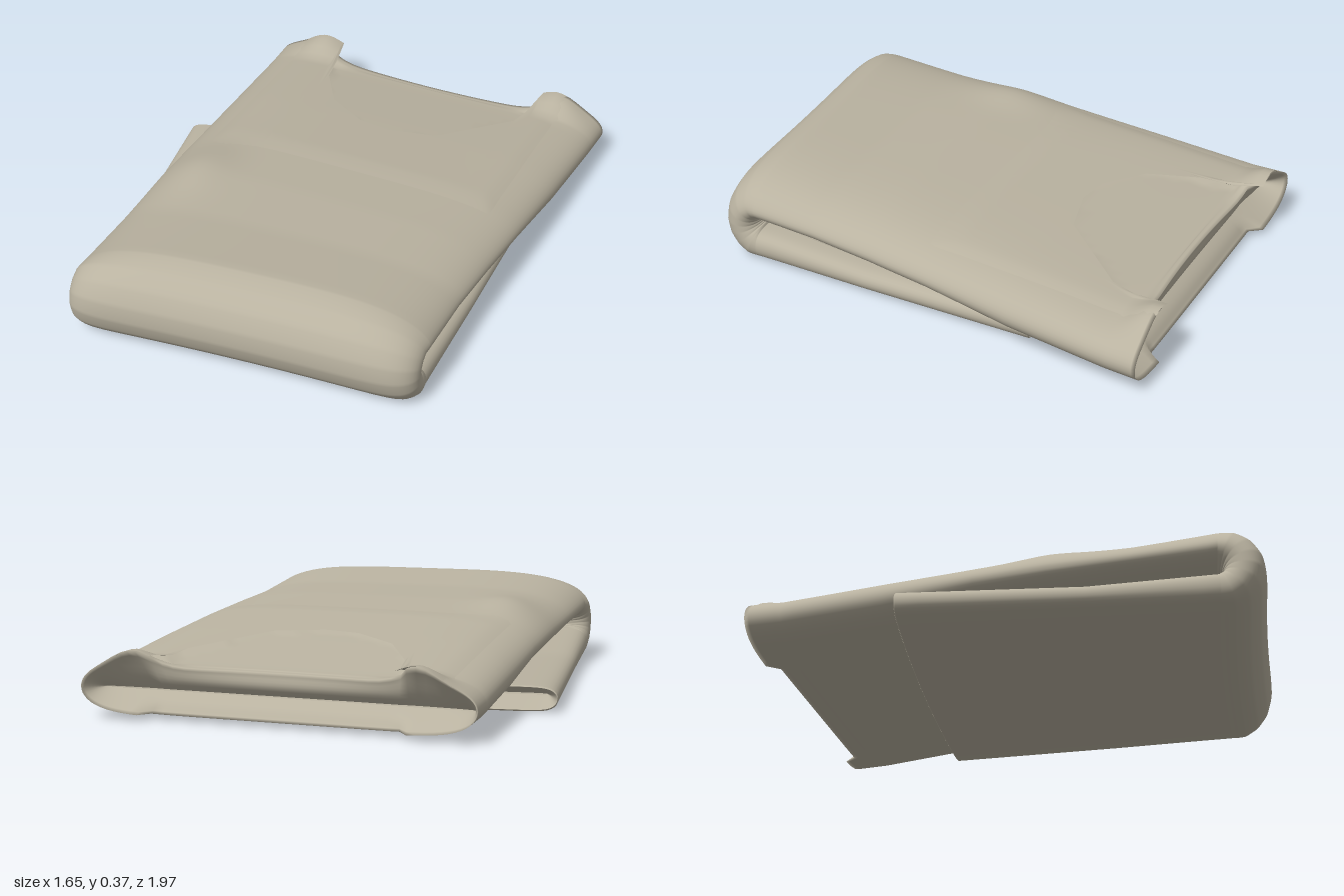
import * as THREE from 'three';

const { smoothstep, lerp } = THREE.MathUtils;
const clothMaterial = new THREE.MeshStandardMaterial({ color: 0xb9b2a0, side: THREE.DoubleSide });
clothMaterial.name = 'beigeCloth';

// Stations along the cloth: z, y, outward angle, half thickness, left x, right x, crown, edge squareness
const upper = [
  [-0.99, 0.120, 0, 0.098, -0.69, 0.825, 0.0, 8],
  [-0.85, 0.122, 0, 0.098, -0.69, 0.815, 0.004, 8],
  [-0.45, 0.153, 0, 0.096, -0.685, 0.79, 0.022, 8],
  [-0.10, 0.188, 0, 0.076, -0.68, 0.76, 0.045, 8],
  [0.17, 0.204, 0, 0.070, -0.68, 0.735, 0.056, 8],
  [0.45, 0.217, 0, 0.065, -0.675, 0.715, 0.058, 8],
  [0.74, 0.232, 0, 0.070, -0.675, 0.71, 0.070, 8],
];
const hem = [-0.86, 0.1, 0, 0.003, -0.65, 0.78, 0, 8];
const fold = [1, 2, 3, 4, 5, 6, 7].map(k => {
  const a = k * Math.PI / 8;
  return [0.742 + 0.085 * Math.sin(a), 0.147 + 0.085 * Math.cos(a), a, 0.07, -0.682, 0.705,
    0.07 - 0.01 * k, 8 + 2 * k];
});
const lower = [
  [0.745, 0.064, Math.PI, 0.061, -0.685, 0.70, 0, 26],
  [0.25, 0.050, Math.PI, 0.047, -0.74, 0.70, 0, 26],
  [-0.455, 0.053, Math.PI, 0.050, -0.83, 0.70, 0, 26],
  [-0.46, 0.053, Math.PI, 0.044, -0.827, 0.697, 0, 26],
  [-0.36, 0.053, Math.PI, 0.003, -0.77, 0.66, 0, 26],
];

// Neckline in plan: x, z
const neck = [[-0.39, -0.99], [-0.35, -0.74], [-0.24, -0.55], [-0.07, -0.44],
  [0.07, -0.42], [0.26, -0.47], [0.50, -0.75], [0.55, -0.99]];

const mix = (a, b, t) => a.map((v, i) => lerp(v, b[i], t));

function neckZ(x) {
  for (let i = 0; i < neck.length - 1; i++) {
    const [x0, z0] = neck[i], [x1, z1] = neck[i + 1];
    if (x >= x0 && x <= x1) return lerp(z0, z1, (x - x0) / (x1 - x0));
  }
  return -0.99;
}

function insideNeck(x, z) {
  const reach = Math.max(neckZ(x - 0.03), neckZ(x), neckZ(x + 0.03));
  return reach > -0.985 && z < reach + 0.03;
}

// Raised lumps of cloth at the two shoulders and on the right side of the chest
function lumps(x, z) {
  const near = (v, c, r) => Math.exp(-(((v - c) / r) ** 2));
  return 0.05 * smoothstep(-z, 0.84, 0.97) * (near(x, -0.47, 0.1) + near(x, 0.63, 0.1))
    + 0.04 * near(x, -0.5, 0.12) * near(z, 0.17, 0.16);
}

const edgeRound = (n, power) => Math.sqrt(Math.max(0, 1 - Math.abs(n) ** power));
const crownRound = (n, power) => 1 - Math.abs(n) ** (power / 2);

// Height of the upper layer's outer face
function topY(x, z) {
  let i = 0;
  while (i < upper.length - 2 && z > upper[i + 1][0]) i++;
  const t = (z - upper[i][0]) / (upper[i + 1][0] - upper[i][0]);
  const [, y, , h, xl, xr, crown, power] = mix(upper[i], upper[i + 1], t);
  const n = THREE.MathUtils.clamp((2 * x - xl - xr) / (xr - xl), -1, 1);
  return y + h * edgeRound(n, power) + crown * crownRound(n, power) + lumps(x, z);
}

// Indexed grid of points to a smooth mesh
function gridMesh(name, rows, closed) {
  const cols = rows[0].length, index = [];
  for (let j = 0; j < rows.length - 1; j++) {
    for (let i = 0; i < (closed ? cols : cols - 1); i++) {
      const k = (i + 1) % cols;
      const a = j * cols + i, b = j * cols + k;
      index.push(a, b, a + cols, b, b + cols, a + cols);
    }
  }
  const geometry = new THREE.BufferGeometry();
  geometry.setAttribute('position', new THREE.Float32BufferAttribute(rows.flat(2), 3));
  geometry.setIndex(index);
  geometry.computeVertexNormals();
  const mesh = new THREE.Mesh(geometry, clothMaterial);
  mesh.name = name;
  return mesh;
}

// One closed cross-section with rounded side edges
function section([z, y, a, h, xl, xr, crown, power], around) {
  const ring = [];
  for (let i = 0; i < around; i++) {
    const theta = (i / around) * Math.PI * 2;
    const n = Math.cos(theta), outer = i <= around / 2;
    const x = (xl + xr) / 2 + n * (xr - xl) / 2;
    let o = (outer ? 1 : -1) * h * edgeRound(n, power);
    if (outer) o += crown * crownRound(n, power);
    let pz = z, py = y;
    if (a === 0) {
      const full = Math.min(1, h / 0.098);
      if (outer) py += full * lumps(x, z);
      if (insideNeck(x, z)) {
        if (outer) py -= full * (0.012 + 0.01 * smoothstep(-z, 0.43, 0.93));
        pz += (outer ? 0.09 - 0.12 * (x - 0.08) ** 2 : 0.05) * full * smoothstep(-z, 0.85, 0.99);
      }
    }
    // The front fold and the lower half run at a slight slant
    const slant = a === 0 ? smoothstep(z, 0, 0.75) : 1;
    ring.push([x, py + Math.cos(a) * o, pz + Math.sin(a) * o + (0.04 * x * x - 0.09 * x) * slant]);
  }
  return ring;
}

function loft(name, stations, steps, around) {
  const rows = [];
  for (let s = 0; s < stations.length - 1; s++) {
    for (let k = 0; k < steps; k++) rows.push(section(mix(stations[s], stations[s + 1], k / steps), around));
  }
  rows.push(section(stations[stations.length - 1], around));
  return gridMesh(name, rows, true);
}

// Front cloth panel with the neckline cut into its back edge
function neckPanel() {
  const xMin = -0.6, xMax = 0.68, rows = [];
  const xs = neck.map(p => p[0]);
  for (let i = 0; i <= 56; i++) xs.push(lerp(xMin, xMax, i / 56));
  xs.sort((p, q) => q - p);
  for (let j = 0; j <= 28; j++) {
    rows.push(xs.map(x => {
      const z = lerp(neckZ(x), 0, j / 28);
      const fade = Math.min(1, (x - xMin) / 0.08, (xMax - x) / 0.08, -z / 0.15);
      return [x, topY(x, z) + 0.01 * fade - 0.004, z];
    }));
  }
  return gridMesh('neckPanel', rows, false);
}

export function createModel() {
  const group = new THREE.Group();
  group.name = 'foldedShirt';
  group.add(loft('foldedBody', [hem, ...upper, ...fold, ...lower], 8, 96));
  group.add(neckPanel());
  // Sleeve tucked between the two halves
  group.add(loft('tuckedSleeve', [
    [0.74, 0.145, Math.PI, 0.004, -0.58, 0.60, 0, 6],
    [0.60, 0.140, Math.PI, 0.025, -0.60, 0.63, 0, 6],
    [0.05, 0.115, Math.PI, 0.025, -0.61, 0.66, 0, 6],
    [-0.10, 0.110, Math.PI, 0.004, -0.60, 0.62, 0, 6],
  ], 4, 32));
  return group;
}
